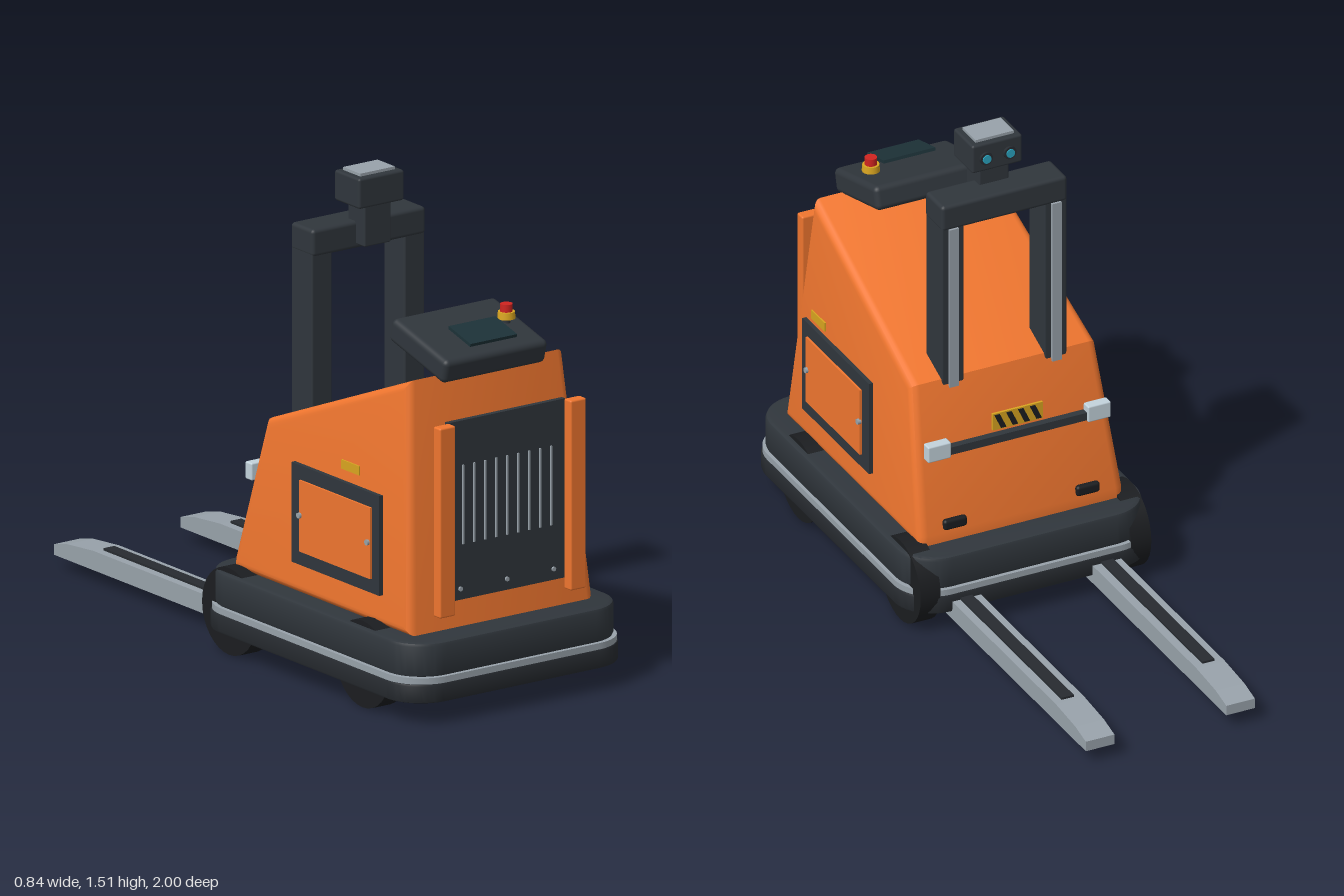
import * as THREE from 'three';
import { toCreasedNormals } from 'three/addons/utils/BufferGeometryUtils.js';
import { RoundedBoxGeometry } from 'three/addons/geometries/RoundedBoxGeometry.js';

const mat = (color) => new THREE.MeshStandardMaterial({ color });
const orange = mat(0xf0762f), dark = mat(0x30363c), darker = mat(0x272b30), rubber = mat(0x1b1d20);
const steel = mat(0x98a2aa), pale = mat(0xc3d3dc), yellow = mat(0xd9a520), red = mat(0xd02420);
const glass = mat(0x1d3238), cyan = mat(0x2aa5c0);

export function createModel() {
  const model = new THREE.Group();

  const add = (name, geo, material, x = 0, y = 0, z = 0, parent = model) => {
    const mesh = new THREE.Mesh(geo, material);
    mesh.name = name;
    mesh.position.set(x, y, z);
    parent.add(mesh);
    return mesh;
  };
  // Box given by its limits; r rounds the edges
  const block = (name, material, [x0, x1], [y0, y1], [z0, z1], r = 0) => {
    const s = [x1 - x0, y1 - y0, z1 - z0];
    const geo = r ? new RoundedBoxGeometry(...s, 2, r) : new THREE.BoxGeometry(...s);
    return add(name, geo, material, (x0 + x1) / 2, (y0 + y1) / 2, (z0 + z1) / 2);
  };
  // Same box on both sides of the model
  const pair = (name, material, [x0, x1], y, z, r) => {
    block(name + 'Left', material, [x0, x1], y, z, r);
    block(name + 'Right', material, [-x1, -x0], y, z, r);
  };

  // Chassis tiers: rounded rectangles in plan, extruded upwards
  const tier = (name, material, halfW, z0, z1, y0, y1, bevel) => {
    const r = 0.13, s = new THREE.Shape();
    s.absarc(halfW - r, -z0 - r, r, 0, Math.PI / 2);
    s.absarc(-halfW + r, -z0 - r, r, Math.PI / 2, Math.PI);
    s.absarc(-halfW + r, -z1 + r, r, Math.PI, Math.PI * 1.5);
    s.absarc(halfW - r, -z1 + r, r, Math.PI * 1.5, Math.PI * 2);
    s.closePath();
    const geo = new THREE.ExtrudeGeometry(s, {
      depth: y1 - y0 - 2 * bevel, bevelEnabled: bevel > 0, bevelSize: bevel,
      bevelThickness: bevel, bevelOffset: -bevel, bevelSegments: 2, curveSegments: 10,
    });
    geo.rotateX(-Math.PI / 2);
    add(name, toCreasedNormals(geo, 0.6), material, 0, y0 + bevel, 0);
  };
  tier('chassisLower', darker, 0.42, -0.11, 1.0, 0.07, 0.132, 0.008);
  tier('chassisTrim', steel, 0.417, -0.107, 0.997, 0.13, 0.15, 0);
  tier('chassisUpper', dark, 0.41, -0.1, 0.99, 0.148, 0.257, 0.012);

  // Wheels
  for (const side of [1, -1]) {
    for (const z of [0.71, 0.032]) {
      const geo = new THREE.CylinderGeometry(0.137, 0.137, 0.068, 32).rotateZ(Math.PI / 2);
      add('wheel', geo, rubber, side * 0.357, 0.137, z);
    }
  }

  // Body: side profile extruded across x, then narrowed towards the top
  const profile = new THREE.Shape([[-0.89, 0.255], [-0.01, 0.255], [-0.01, 0.29], [0.11, 0.75], [0.81, 1.035], [0.89, 0.255]]
    .slice(1).map(([z, y]) => new THREE.Vector2(-z, y)));
  const bodyGeo = new THREE.ExtrudeGeometry(profile, {
    depth: 0.64, bevelSize: 0.03, bevelThickness: 0.03, bevelOffset: -0.03, bevelSegments: 4,
  });
  bodyGeo.translate(0, 0, -0.32).rotateY(Math.PI / 2);
  const p = bodyGeo.attributes.position;
  for (let i = 0; i < p.count; i++) {
    const t = (p.getY(i) - 0.255) / 0.78;
    p.setX(i, p.getX(i) * (1 - 0.165 * t));
  }
  // A 90 degree turn sends profile -z to +z
  add('body', toCreasedNormals(bodyGeo, 0.6), orange);

  // Front grille panel with posts, slats and screws
  block('grillePanel', dark, [-0.22, 0.22], [0.35, 0.915], [0.897, 0.914]);
  pair('grillePost', orange, [0.216, 0.275], [0.315, 0.915], [0.912, 0.948], 0.006);
  for (let i = -4; i <= 4; i++) {
    const x = i * 0.0413;
    block('grilleSlat', steel, [x - 0.003, x + 0.003], [0.525, 0.775], [0.912, 0.919]);
  }
  for (const x of [-0.175, 0, 0.175]) {
    add('grilleScrew', new THREE.CylinderGeometry(0.007, 0.007, 0.008, 12).rotateX(Math.PI / 2), steel, x, 0.385, 0.916);
  }

  // Side hatches, latches and yellow labels
  pair('hatchFrame', dark, [0.344, 0.358], [0.355, 0.67], [0.305, 0.75]);
  pair('hatchDoor', orange, [0.354, 0.365], [0.4, 0.625], [0.352, 0.713]);
  pair('sideLabel', yellow, [0.366, 0.371], [0.717, 0.746], [0.575, 0.665]);
  for (const side of [1, -1]) {
    for (const z of [0.357, 0.703]) {
      add('hatchLatch', new THREE.CylinderGeometry(0.009, 0.009, 0.012, 12).rotateZ(Math.PI / 2), steel, side * 0.367, 0.515, z);
    }
  }

  // Tilted control console with screen and stop button
  const console_ = new THREE.Group();
  console_.name = 'console';
  console_.position.set(0, 1.09, 0.72);
  console_.rotation.x = 0.262;
  model.add(console_);
  add('consoleBox', new RoundedBoxGeometry(0.388, 0.078, 0.29, 3, 0.018), dark, 0, 0, 0, console_);
  add('screen', new THREE.BoxGeometry(0.175, 0.01, 0.115), glass, 0, 0.063, 0.058, console_);
  add('stopCollar', new THREE.CylinderGeometry(0.026, 0.028, 0.022, 24), yellow, 0.135, 1.15, 0.73);
  add('stopStem', new THREE.CylinderGeometry(0.012, 0.012, 0.04, 16), dark, 0.135, 1.13, 0.73);
  add('stopButton', new THREE.CylinderGeometry(0.019, 0.019, 0.026, 24), red, 0.135, 1.172, 0.73);

  // Mast: posts, rear rails and crossbar
  pair('mastPost', dark, [0.136, 0.212], [0.6, 1.3], [0.105, 0.212], 0.006);
  pair('mastRail', steel, [0.158, 0.19], [0.72, 1.27], [0.097, 0.108]);
  block('mastCrossbar', dark, [-0.213, 0.213], [1.266, 1.352], [0.102, 0.217], 0.012);

  // Sensor head on its neck, lenses looking back over the forks
  block('sensorNeck', dark, [-0.05, 0.05], [1.28, 1.42], [0.174, 0.26], 0.005);
  block('sensorHead', dark, [-0.085, 0.085], [1.41, 1.506], [0.152, 0.28], 0.008);
  block('sensorCap', steel, [-0.065, 0.065], [1.5, 1.515], [0.17, 0.258]);
  for (const x of [-0.04, 0.04]) {
    add('lensRing', new THREE.CylinderGeometry(0.021, 0.021, 0.01, 20).rotateX(Math.PI / 2), darker, x, 1.456, 0.149);
    add('lens', new THREE.CylinderGeometry(0.014, 0.014, 0.014, 20).rotateX(Math.PI / 2), cyan, x, 1.456, 0.147);
  }

  // Rear light bar, lamps, hazard plate and reflectors
  block('lightBar', dark, [-0.3, 0.3], [0.54, 0.566], [0.012, 0.036]);
  pair('rearLamp', pale, [0.232, 0.31], [0.535, 0.59], [0.003, 0.037], 0.005);
  block('hazardPlate', yellow, [-0.085, 0.085], [0.585, 0.642], [0.016, 0.024]);
  const stripe = new THREE.Shape([[-0.02, -0.024], [-0.002, -0.024], [0.02, 0.024], [0.002, 0.024]].map((c) => new THREE.Vector2(...c)));
  for (let i = -1.5; i <= 1.5; i++) {
    add('hazardStripe', new THREE.ExtrudeGeometry(stripe, { depth: 0.004, bevelEnabled: false }), rubber, i * 0.04, 0.6135, 0.0125);
  }
  pair('rearReflector', rubber, [0.185, 0.265], [0.295, 0.33], [-0.016, 0.02], 0.01);

  // Forks with tapered tips and dark inlays
  const forkSide = new THREE.Shape([[0.02, 0.045], [1, 0.045], [1, 0.078], [0.93, 0.095], [0.8, 0.106], [0.02, 0.106]]
    .map((c) => new THREE.Vector2(...c)));
  for (const side of [1, -1]) {
    const geo = new THREE.ExtrudeGeometry(forkSide, { depth: 0.097, bevelEnabled: false });
    geo.translate(0, 0, -0.0485).rotateY(Math.PI / 2);
    add('fork', geo, steel, side * 0.238, 0, 0);
  }
  pair('forkInlay', darker, [0.218, 0.259], [0.1, 0.113], [-0.785, -0.03]);

  return model;
}
